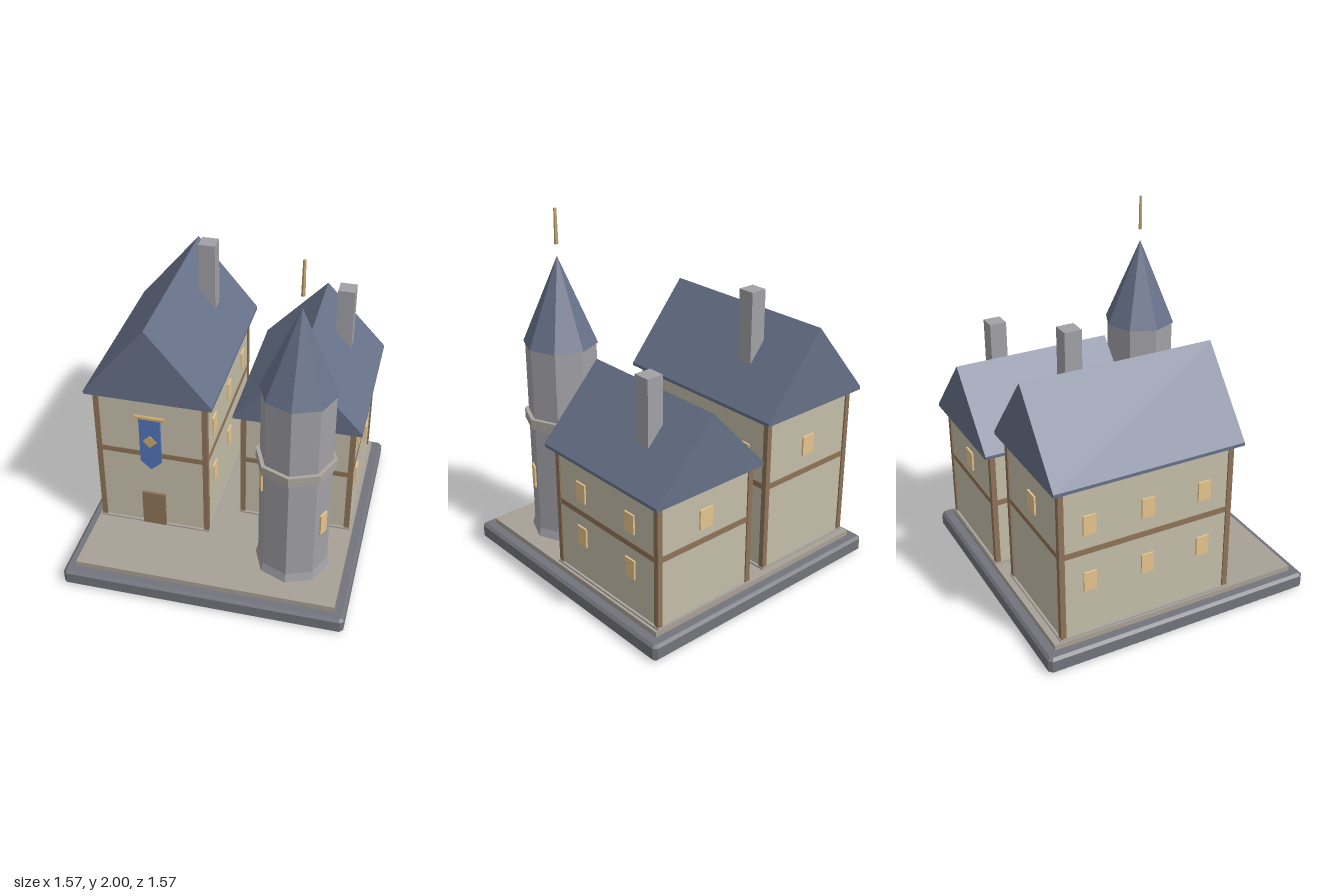
import * as THREE from 'three';

const mat = (color) => new THREE.MeshStandardMaterial({ color, flatShading: true, roughness: 0.9 });
const M = {
  base: mat(0x73747c), paving: mat(0xa8a096), wall: mat(0xc4bda8), wood: mat(0x8f7458),
  roof: mat(0x667088), stone: mat(0xa0a0a6), trim: mat(0xaaa59e), window: mat(0xe6c48c),
  cloth: mat(0x4f74b8), gold: mat(0xc9a870),
};

const GROUND = 0.125;

function add(parent, name, geometry, material, x = 0, y = 0, z = 0) {
  const mesh = new THREE.Mesh(geometry, material);
  mesh.name = name;
  mesh.position.set(x, y, z);
  parent.add(mesh);
  return mesh;
}

const box = (parent, name, w, h, d, material, x, y, z) =>
  add(parent, name, new THREE.BoxGeometry(w, h, d), material, x, y, z);

const polygon = (points) => new THREE.Shape(points.map(([x, y]) => new THREE.Vector2(x, y)));

// Flat outline extruded along z and centred on it
function plate(points, depth) {
  const g = new THREE.ExtrudeGeometry(polygon(points), { depth, bevelEnabled: false });
  return g.translate(0, 0, -depth / 2);
}

// Square plinth with chamfered edges, and paving on top
function buildBase(root) {
  const b = 0.015, s = 0.785 - b, c = 0.01, h = 0.095;
  const outline = polygon([
    [s - c, -s], [s, -s + c], [s, s - c], [s - c, s],
    [-s + c, s], [-s, s - c], [-s, -s + c], [-s + c, -s],
  ]);
  const g = new THREE.ExtrudeGeometry(outline, {
    depth: h - 2 * b, bevelEnabled: true, bevelSize: b, bevelThickness: b, bevelSegments: 1,
  });
  g.translate(0, 0, b).rotateX(-Math.PI / 2);
  add(root, 'base', g, M.base);
  box(root, 'paving', 1.45, GROUND - h, 1.45, M.paving, 0, (GROUND + h) / 2, 0);
}

// Timber-framed house with a gable roof; x, z give the centre of its plan
function buildHouse(root, name, o) {
  const house = new THREE.Group();
  house.name = name;
  house.position.set(o.x, 0, o.z);
  root.add(house);
  const w = 0.64, d = o.depth, h = o.eave - GROUND, midY = GROUND + h / 2;
  const inset = 0.008, post = 0.03;

  box(house, 'walls', w - 2 * inset, h, d - 2 * inset, M.wall, 0, midY, 0);
  box(house, 'footing', w + 0.01, 0.01, d + 0.01, M.trim, 0, GROUND + 0.005, 0);
  box(house, 'middleBeam', w - inset, 0.032, d - inset, M.wood, 0, o.beam, 0);
  for (const sx of [-1, 1]) for (const sz of [-1, 1])
    box(house, 'cornerPost', post, h, post, M.wood, sx * (w - post) / 2, midY, sz * (d - post) / 2);

  // Roof with a thin upright eave
  const r = 0.357, lip = 0.018;
  add(house, 'roof', plate([[-r, 0], [r, 0], [r, lip], [0, o.ridge - o.eave], [-r, lip]], d + 0.075),
    M.roof, 0, o.eave, 0);

  // Windows along both long walls and one at the back
  for (const y of o.rows) for (const z of o.columns) for (const s of [-1, 1])
    box(house, 'sideWindow', 0.02, 0.11, 0.072, M.window, s * (w / 2 - inset), y, z);
  box(house, 'backWindow', 0.085, 0.11, 0.02, M.window, 0, o.rows[1], -d / 2 + inset);
  box(house, 'door', 0.135, 0.225, 0.03, M.wood, 0, GROUND + 0.1125, d / 2 - inset);

  const [cx, cz, top] = o.chimney, bottom = o.eave + 0.05;
  box(house, 'chimney', 0.095, top - bottom, 0.095, M.stone, cx - o.x, (top + bottom) / 2, cz - o.z);
  return house;
}

// Pointed cloth hanging from a rod, with a diamond on it
function buildBanner(house, z) {
  const banner = new THREE.Group();
  banner.name = 'banner';
  banner.position.set(0, 0, z);
  house.add(banner);
  add(banner, 'cloth', plate([[-0.06, 0.88], [-0.06, 0.595], [0, 0.54], [0.06, 0.595], [0.06, 0.88]], 0.015),
    M.cloth);
  box(banner, 'rod', 0.17, 0.014, 0.02, M.gold, 0, 0.888, 0);
  add(banner, 'diamond', plate([[0, -0.04], [0.04, 0], [0, 0.04], [-0.04, 0]], 0.012), M.gold, 0, 0.735, 0.006);
}

// Eight-sided tower with its corners on the axes
function buildTower(root) {
  const tower = new THREE.Group();
  tower.name = 'tower';
  tower.position.set(0.433, 0, 0.4);
  root.add(tower);
  const ring = (name, rTop, rBottom, y0, y1, material) =>
    add(tower, name, new THREE.CylinderGeometry(rTop, rBottom, y1 - y0, 8), material, 0, (y0 + y1) / 2, 0);
  ring('foot', 0.195, 0.208, GROUND, 0.175, M.stone);
  ring('shaft', 0.195, 0.195, 0.175, 1.265, M.stone);
  ring('band', 0.217, 0.217, 0.807, 0.863, M.trim);
  add(tower, 'spire', new THREE.ConeGeometry(0.204, 0.48, 8), M.roof, 0, 1.505, 0);
  add(tower, 'finial', new THREE.CylinderGeometry(0.008, 0.011, 0.19, 6), M.gold, 0, 1.905, 0);

  // Windows climbing around the shaft
  const apothem = 0.195 * Math.cos(Math.PI / 8);
  for (const [degrees, y] of [[22.5, 0.477], [157.5, 0.718], [247.5, 0.957]]) {
    const a = THREE.MathUtils.degToRad(degrees);
    const win = box(tower, 'towerWindow', 0.02, 0.13, 0.06, M.window,
      Math.cos(a) * apothem, y, Math.sin(a) * apothem);
    win.rotation.y = -a;
  }
}

export function createModel() {
  const root = new THREE.Group();
  root.name = 'townHouses';
  buildBase(root);
  const tall = buildHouse(root, 'tallHouse', {
    x: -0.39, z: -0.183, depth: 1.0, eave: 1.01, ridge: 1.457, beam: 0.625,
    rows: [0.445, 0.78], columns: [-0.33, 0, 0.33], chimney: [-0.237, -0.378, 1.613],
  });
  buildBanner(tall, 0.512);
  buildHouse(root, 'lowHouse', {
    x: 0.385, z: -0.305, depth: 0.825, eave: 0.83, ridge: 1.23, beam: 0.52,
    rows: [0.383, 0.646], columns: [-0.195, 0.2], chimney: [0.537, -0.462, 1.382],
  });
  buildTower(root);
  return root;
}
